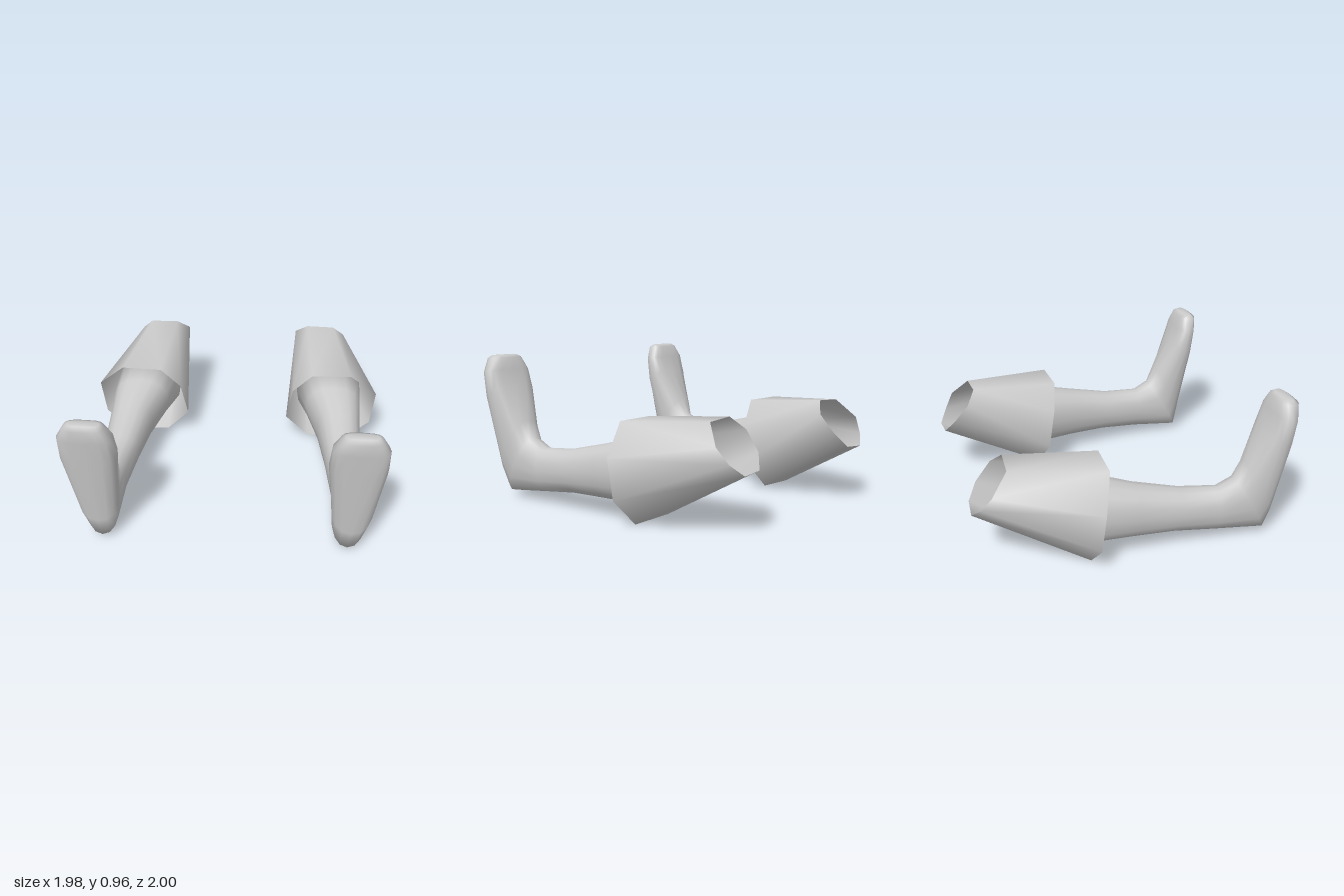
import * as THREE from 'three';

const SIDES = 16;

// Skin a list of rings (each ring: [x, y, z] points, counter-clockwise seen from +z, ordered back to front).
function loft(rings, side, capEnds) {
  const n = rings[0].length, pos = [], idx = [];
  const tri = (a, b, c) => (side > 0 ? idx.push(a, b, c) : idx.push(a, c, b));
  rings.forEach(r => r.forEach(([x, y, z]) => pos.push(x * side, y, z)));
  for (let i = 0; i < rings.length - 1; i++) {
    for (let j = 0; j < n; j++) {
      const k = (j + 1) % n, a = i * n + j, b = i * n + k;
      tri(a, b, b + n);
      tri(a, b + n, a + n);
    }
  }
  if (capEnds) {
    [0, rings.length - 1].forEach(i => {
      const c = pos.length / 3, mid = [0, 0, 0];
      rings[i].forEach(p => p.forEach((v, k) => (mid[k] += v / n)));
      pos.push(mid[0] * side, mid[1], mid[2]);
      for (let j = 0; j < n; j++) {
        const a = i * n + j, b = i * n + (j + 1) % n;
        if (i) tri(a, b, c); else tri(b, a, c);
      }
    });
  }
  const g = new THREE.BufferGeometry();
  g.setAttribute('position', new THREE.Float32BufferAttribute(pos, 3));
  g.setIndex(idx);
  g.computeVertexNormals();
  return g;
}

// Rounded cross-section spanning a top point, a bottom point and an x range; e < 1 makes it boxier.
function section([topZ, topY, botZ, botY, x0, x1, e]) {
  const soft = v => Math.sign(v) * Math.pow(Math.abs(v), e);
  return Array.from({ length: SIDES }, (_, j) => {
    const a = (j / SIDES) * Math.PI * 2;
    const u = soft(Math.cos(a)), v = soft(Math.sin(a));
    return [
      (x0 + x1) / 2 + u * (x1 - x0) / 2,
      (topY + botY) / 2 + v * (topY - botY) / 2,
      (topZ + botZ) / 2 + v * (topZ - botZ) / 2,
    ];
  });
}

// Calf, ankle and upright foot: topZ, topY, bottomZ, bottomY, x range, roundness
const LEG = [
  [-0.42, 0.55, -0.42, 0.12, 0.43, 0.89, 0.85],
  [-0.20, 0.51, -0.28, 0.11, 0.50, 0.885, 0.85],
  [0.00, 0.455, 0.00, 0.107, 0.58, 0.875, 0.85],
  [0.30, 0.385, 0.25, 0.10, 0.63, 0.87, 0.9],
  [0.55, 0.365, 0.53, 0.07, 0.67, 0.875, 0.9],
  [0.65, 0.42, 0.87, 0.03, 0.67, 0.89, 0.9],
  [0.71, 0.53, 0.895, 0.17, 0.66, 0.925, 0.85],
  [0.82, 0.75, 0.965, 0.68, 0.62, 0.97, 0.7],
  [0.86, 0.87, 0.985, 0.85, 0.63, 0.965, 0.65],
  [0.88, 0.95, 1.0, 0.945, 0.675, 0.915, 0.65],
  [0.91, 0.965, 0.97, 0.965, 0.70, 0.89, 0.65],
];

// Trouser leg: slanted opening at the back, flared hem at the front
const OPENING = [
  [0.49, 0.67, -0.77], [0.405, 0.59, -0.83], [0.42, 0.47, -0.93], [0.49, 0.38, -0.99],
  [0.64, 0.37, -1.0], [0.72, 0.44, -0.95], [0.765, 0.54, -0.89], [0.68, 0.66, -0.78],
];
const HEM = [
  [0.53, 0.62, -0.17], [0.40, 0.46, -0.21], [0.36, 0.20, -0.26], [0.52, 0.01, -0.31],
  [0.80, 0.0, -0.30], [0.965, 0.17, -0.28], [0.99, 0.43, -0.26], [0.80, 0.62, -0.18],
];

export function createModel() {
  const model = new THREE.Group();
  model.name = 'legs';
  const skin = new THREE.MeshStandardMaterial({ color: 0xcccccc });
  const cloth = new THREE.MeshStandardMaterial({ color: 0xcccccc, side: THREE.DoubleSide });

  for (const side of [1, -1]) {
    const leg = new THREE.Group();
    leg.name = side > 0 ? 'leftLeg' : 'rightLeg';

    const calf = new THREE.Mesh(loft(LEG.map(section), side, true), skin);
    calf.name = 'calfAndFoot';

    const trouser = new THREE.Mesh(loft([OPENING, HEM], side, false), cloth);
    trouser.name = 'trouserLeg';

    leg.add(calf, trouser);
    model.add(leg);
  }
  return model;
}
